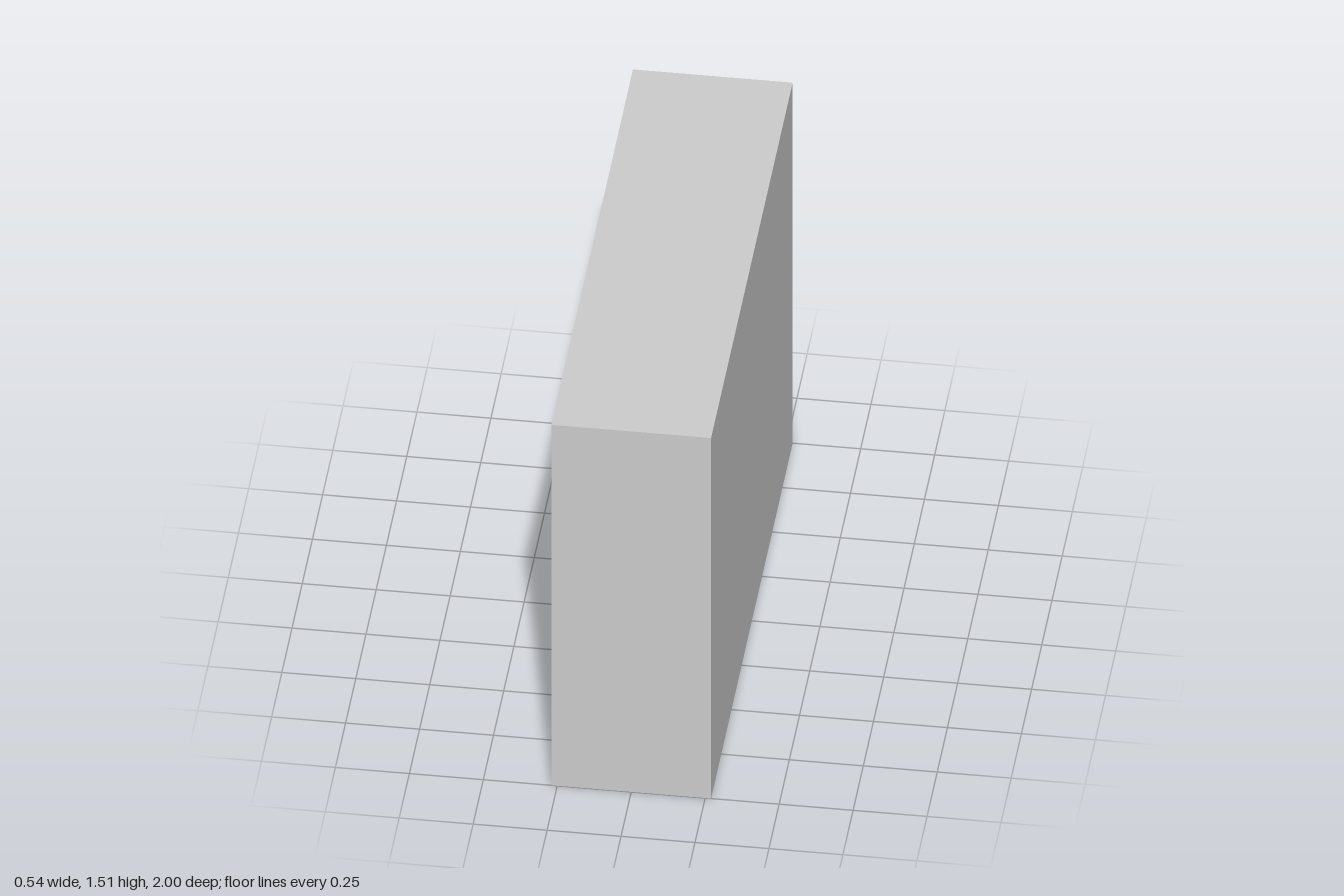
import * as THREE from 'three';

const W = 0.54, H = 1.51, L = 2;     // x, y, z extents
const COLS = 5, ROWS = 4;
const DEPTH = 0.064, WALL = 0.019;   // recess depth and half divider thickness

// Axis-aligned rectangle traced into a Shape or Path
function rect(path, x0, y0, x1, y1) {
  path.moveTo(x0, y0);
  path.lineTo(x1, y0);
  path.lineTo(x1, y1);
  path.lineTo(x0, y1);
  path.closePath();
  return path;
}

export function createModel() {
  const group = new THREE.Group();
  group.name = 'compartmentBlock';
  const material = new THREE.MeshStandardMaterial({ color: 0xcccccc, flatShading: true });

  // Solid block behind the compartments
  const body = new THREE.Mesh(new THREE.BoxGeometry(W - DEPTH, H, L), material);
  body.name = 'body';
  body.position.set(DEPTH / 2, H / 2, 0);
  group.add(body);

  // Lattice of dividers forming the shallow compartments on the -x side
  const shape = rect(new THREE.Shape(), -L / 2, 0, L / 2, H);
  const cw = L / COLS, ch = H / ROWS;
  for (let c = 0; c < COLS; c++) {
    for (let r = 0; r < ROWS; r++) {
      const x = -L / 2 + c * cw, y = r * ch;
      shape.holes.push(rect(new THREE.Path(), x + WALL, y + WALL, x + cw - WALL, y + ch - WALL));
    }
  }
  const geometry = new THREE.ExtrudeGeometry(shape, { depth: DEPTH, bevelEnabled: false });
  geometry.translate(0, 0, W / 2 - DEPTH);
  geometry.rotateY(-Math.PI / 2);
  const lattice = new THREE.Mesh(geometry, material);
  lattice.name = 'compartmentLattice';
  group.add(lattice);

  return group;
}
